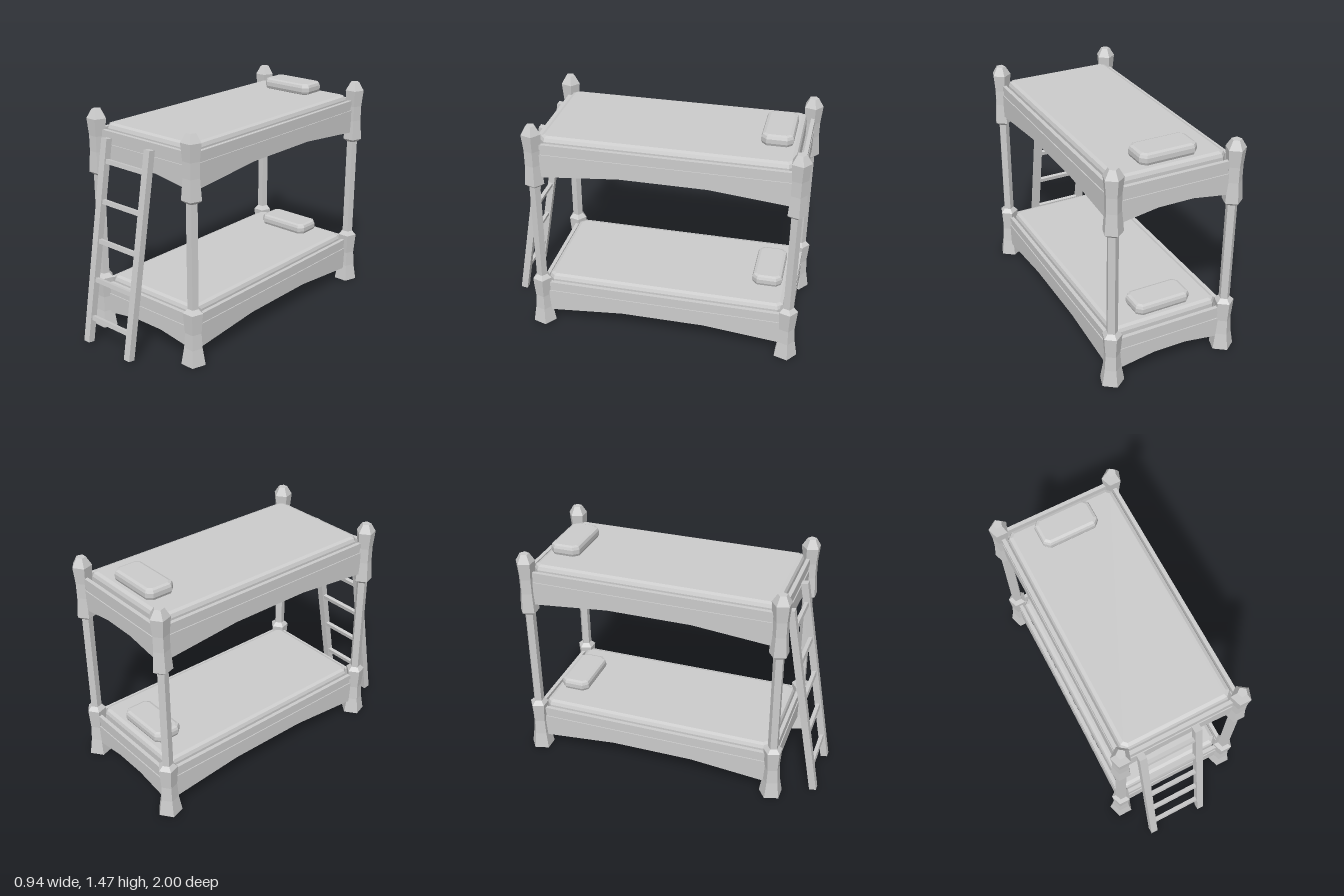
import * as THREE from 'three';

const material = new THREE.MeshStandardMaterial({ color: 0xcccccc, flatShading: true });
const MID_Z = -0.103; // middle of the bed frame
const FLOOR_STEP = 1.03; // height from lower bed to upper bed

function add(parent, name, geometry, x = 0, y = 0, z = 0) {
  const mesh = new THREE.Mesh(geometry, material);
  mesh.name = name;
  mesh.position.set(x, y, z);
  parent.add(mesh);
  return mesh;
}

// Soft block with chamfered corners and bevelled edges, standing on y = 0
function cushion(w, d, h, corner, bevel) {
  const a = w / 2 - bevel, b = d / 2 - bevel, c = corner;
  const shape = new THREE.Shape([
    [a - c, -b], [a, -b + c], [a, b - c], [a - c, b],
    [-a + c, b], [-a, b - c], [-a, -b + c], [-a + c, -b],
  ].map(([x, y]) => new THREE.Vector2(x, y)));
  const geometry = new THREE.ExtrudeGeometry(shape, {
    depth: h - 2 * bevel, bevelSize: bevel, bevelThickness: bevel, bevelSegments: 2,
  });
  return geometry.rotateX(-Math.PI / 2).translate(0, bevel, 0);
}

// Board with an arched lower edge, a groove and a cap strip
function rail(name, half, archOuter, archInner, low, high, grooveLow, grooveHigh, top) {
  const group = new THREE.Group();
  const t = 0.025;
  group.name = name;
  const shape = new THREE.Shape([
    [-half, low], [-archOuter, low], [-archInner, high], [archInner, high],
    [archOuter, low], [half, low], [half, grooveLow], [-half, grooveLow],
  ].map(([x, y]) => new THREE.Vector2(x, y)));
  add(group, 'archedBoard', new THREE.ExtrudeGeometry(shape, { depth: t, bevelEnabled: false }), 0, 0, -t / 2);
  add(group, 'groove', new THREE.BoxGeometry(2 * half, grooveHigh - grooveLow, t * 0.5), 0, (grooveLow + grooveHigh) / 2);
  add(group, 'capStrip', new THREE.BoxGeometry(2 * half, top - grooveHigh, t), 0, (top + grooveHigh) / 2);
  return group;
}

function makeBed(name) {
  const bed = new THREE.Group();
  bed.name = name;
  for (const side of [-1, 1]) {
    const long = rail('sideRail', 0.82, 0.765, 0.275, 0.088, 0.134, 0.243, 0.28, 0.312);
    long.rotation.y = Math.PI / 2;
    long.position.set(side * 0.393, 0, MID_Z);
    const short = rail('endRail', 0.39, 0.345, 0.115, 0.092, 0.128, 0.229, 0.263, 0.312);
    short.position.z = side > 0 ? 0.712 : -0.927;
    bed.add(long, short);
  }
  // Slats under the mattress
  for (let i = 0; i < 4; i++) {
    add(bed, 'slat', new THREE.BoxGeometry(0.77, 0.025, 0.205), 0, 0.158, -0.626 + i * 0.363);
  }
  add(bed, 'mattress', cushion(0.738, 1.58, 0.177, 0.02, 0.03), 0, 0.17, -0.1);
  add(bed, 'pillow', cushion(0.376, 0.196, 0.075, 0.02, 0.024), -0.01, 0.346, -0.752);
  return bed;
}

export function createModel() {
  const model = new THREE.Group();
  model.name = 'bunkBed';

  // Five-sided posts with flared feet, blocks and pointed caps
  const profile = [
    [0, 0], [0.079, 0], [0.06, 0.11], [0.053, 0.21], [0.064, 0.345], [0.036, 0.372],
    [0.036, 1.045], [0.064, 1.066], [0.053, 1.2], [0.053, 1.3], [0.064, 1.41],
    [0.031, 1.465], [0, 1.465],
  ].map(([r, y]) => new THREE.Vector2(r, y));
  for (const x of [-0.395, 0.395]) {
    for (const z of [-0.921, 0.721]) {
      add(model, 'post', new THREE.LatheGeometry(profile, 5, Math.PI), x, 0, z);
    }
  }

  const lower = makeBed('lowerBed');
  const upper = makeBed('upperBed');
  upper.position.y = FLOOR_STEP;
  model.add(lower, upper);

  // Leaning ladder at the foot end
  const ladder = new THREE.Group();
  const lean = 0.172;
  ladder.name = 'ladder';
  ladder.position.set(-0.093, 0.66, 0.866);
  ladder.rotation.x = -lean;
  for (const side of [-1, 1]) {
    add(ladder, 'ladderRail', new THREE.BoxGeometry(0.047, 1.315, 0.045), side * 0.184, 0, 0);
  }
  for (let i = 0; i < 5; i++) {
    const y = (0.175 + i * 0.249 - 0.66) / Math.cos(lean);
    add(ladder, 'rung', new THREE.BoxGeometry(0.33, 0.028, 0.025), 0, y, 0);
  }
  model.add(ladder);
  return model;
}
